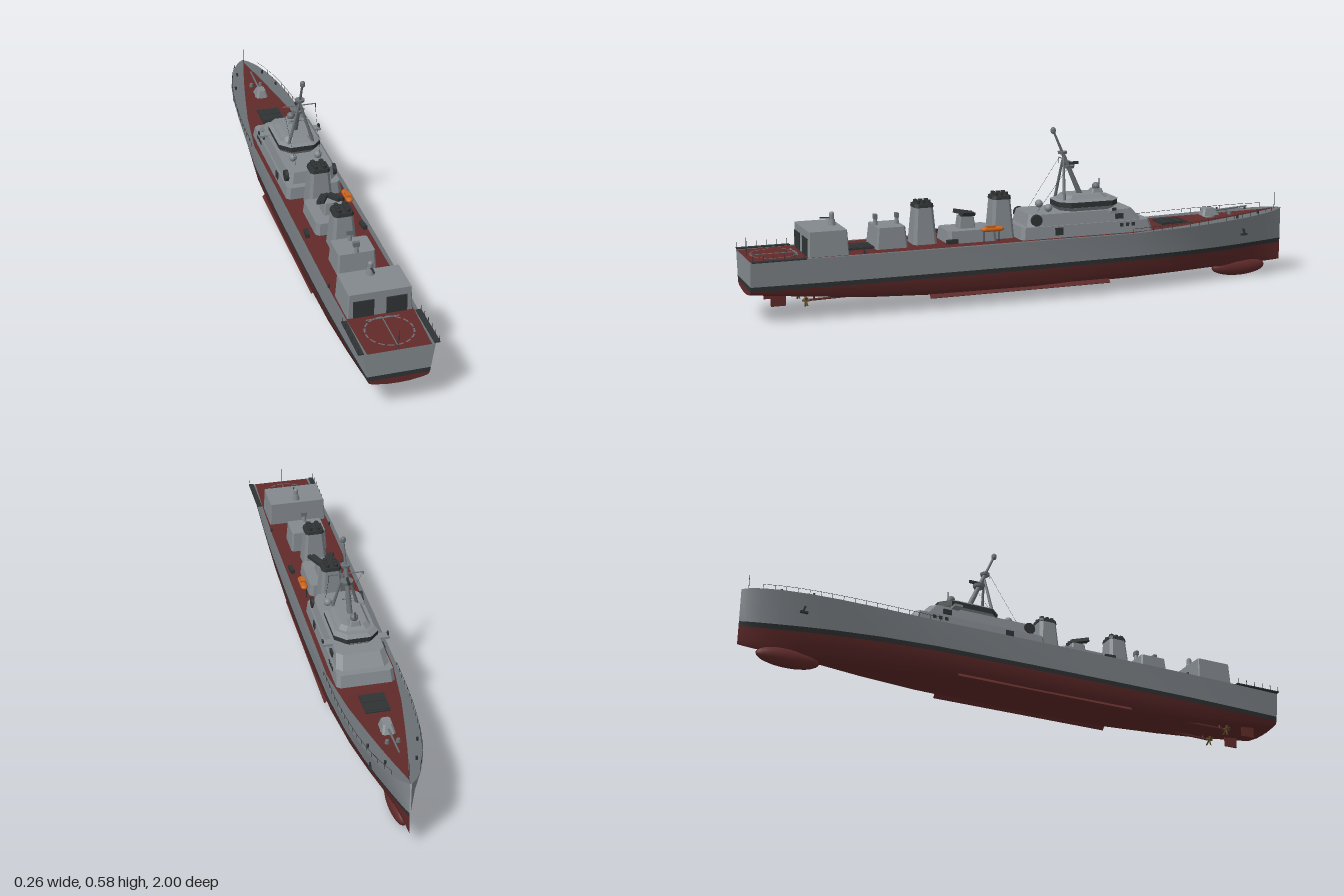
import * as THREE from 'three';

const mat = (name, color) => Object.assign(new THREE.MeshStandardMaterial({ color }), { name });

export function createModel() {
  const root = new THREE.Group();
  root.name = 'warship';
  const grey = mat('hull grey', 0x83898e), red = mat('oxide red', 0x612a2a), dark = mat('dark grey', 0x303334);
  const orange = mat('boat orange', 0xc8641e), brass = mat('propeller brass', 0x64502c), mid = mat('mast grey', 0x6a7074);

  const add = (name, geo, m, x = 0, y = 0, z = 0) => {
    const mesh = new THREE.Mesh(geo, m);
    mesh.name = name;
    mesh.position.set(x, y, z);
    root.add(mesh);
    return mesh;
  };
  const box = (name, m, w, h, d, x, y, z) => add(name, new THREE.BoxGeometry(w, h, d), m, x, y, z);
  const V = (x, y, z) => new THREE.Vector3(x, y, z);
  // straight rod between two points
  const rod = (name, m, a, b, r0, r1 = r0, sides = 8) => {
    const dir = b.clone().sub(a), mesh = add(name, new THREE.CylinderGeometry(r1, r0, dir.length(), sides), m);
    mesh.position.copy(a).add(b).multiplyScalar(0.5);
    mesh.quaternion.setFromUnitVectors(V(0, 1, 0), dir.normalize());
    return mesh;
  };
  const mirror = f => [-1, 1].forEach(f);
  // skin over rows of points
  const loft = (rows, flat) => {
    const n = rows[0].length, idx = [];
    for (let i = 0; i < rows.length - 1; i++) for (let j = 0; j < n - 1; j++) {
      const a = i * n + j, c = a + n;
      idx.push(a, c, a + 1, a + 1, c, c + 1);
    }
    let g = new THREE.BufferGeometry();
    g.setAttribute('position', new THREE.Float32BufferAttribute(rows.flat(2), 3));
    g.setIndex(idx);
    if (flat) g = g.toNonIndexed();
    g.computeVertexNormals();
    return g;
  };
  // tapered deckhouse with cut corners: half widths, z ranges, heights
  const house = (name, m, [w0, za0, zb0, y0], [w1, za1, zb1, y1], c = 0.004) => {
    const ring = (w, a, b, y, k) => [[w, a + k], [w, b - k], [w - k, b], [k - w, b], [-w, b - k], [-w, a + k], [k - w, a], [w - k, a], [w, a + k]]
      .map(([x, z]) => [x, y, z]);
    const mz0 = (za0 + zb0) / 2, mz1 = (za1 + zb1) / 2;
    return add(name, loft([ring(0, mz0, mz0, y0, 0), ring(w0, za0, zb0, y0, c), ring(w1, za1, zb1, y1, c), ring(0, mz1, mz1, y1, 0)], true), m);
  };

  // Hull stations: z, deck, waterline, bilge and floor half widths, keel height
  const stations = [
    [-1, 0.003, 0.002, 0.001, 0.001, 0.048], [-0.98, 0.024, 0.007, 0.004, 0.002, 0.046], [-0.94, 0.048, 0.016, 0.009, 0.004, 0.044],
    [-0.88, 0.071, 0.03, 0.018, 0.008, 0.042], [-0.8, 0.092, 0.049, 0.034, 0.017, 0.04], [-0.7, 0.108, 0.07, 0.055, 0.034, 0.04],
    [-0.55, 0.122, 0.093, 0.081, 0.06, 0.04], [-0.35, 0.128, 0.11, 0.102, 0.083, 0.04], [0, 0.129, 0.117, 0.112, 0.097, 0.04],
    [0.35, 0.129, 0.117, 0.112, 0.094, 0.042], [0.6, 0.127, 0.115, 0.107, 0.085, 0.052], [0.8, 0.122, 0.109, 0.101, 0.08, 0.07], [1, 0.115, 0.1, 0.094, 0.075, 0.09]];
  const deckY = z => 0.213 + 0.029 * Math.pow(Math.max(0, (-z - 0.35) / 0.65), 1.4);
  const half = ([z, b, w, g, f, k]) => [[b, deckY(z)], [w + (b - w) * 0.15, 0.128], [w, 0.112],
    [g, Math.max(0.07, k + 0.012)], [f, k + 0.007], [f * 0.45, k + 0.001], [0, k]];
  const hullBand = (name, m, i, j) => mirror(s => add(name, loft(stations.map(st => {
    const p = half(st).slice(i, j + 1).map(([x, y]) => [s * x, y, st[0]]);
    return s > 0 ? p : p.reverse();
  })), m));
  hullBand('topsides', grey, 0, 1);
  hullBand('bootTopping', dark, 1, 2);
  hullBand('underwaterHull', red, 2, 6);

  // transom
  const stern = half(stations[stations.length - 1]);
  [[grey, 0, 1], [dark, 1, 2], [red, 2, 6]].forEach(([m, i, j]) => {
    const p = stern.slice(i, j + 1), s = new THREE.Shape();
    [...p, ...p.slice().reverse().map(([x, y]) => [-x, y])].forEach(([x, y], k) => k ? s.lineTo(x, y) : s.moveTo(x, y));
    add('transom', new THREE.ShapeGeometry(s), m, 0, 0, 1);
  });

  // deck: red centre, grey margins that widen toward the bow
  const redHalf = ([z, b]) => Math.max(0.0005, Math.min(b - 0.012, 0.112 * Math.pow(Math.max(0, z + 0.97) / 0.55, 0.85), 0.114));
  add('deck', loft(stations.map(st => [-redHalf(st), redHalf(st)].map(x => [x, deckY(st[0]), st[0]]))), red);
  mirror(s => add('deckMargin', loft(stations.map(st => {
    const p = [redHalf(st), st[1]].map(x => [s * x, deckY(st[0]), st[0]]);
    return s > 0 ? p : p.reverse();
  })), mid));

  // sonar bulb, rudders, shafts, propellers, bilge keels
  add('sonarBulb', new THREE.SphereGeometry(1, 20, 14), red, 0, 0.033, -0.83).scale.set(0.026, 0.033, 0.108);
  mirror(s => {
    box('rudder', red, 0.005, 0.05, 0.05, s * 0.056, 0.073, 0.9);
    rod('shaft', red, V(s * 0.05, 0.062, 0.58), V(s * 0.056, 0.06, 0.81), 0.004);
    rod('shaftStrut', red, V(s * 0.056, 0.06, 0.78), V(s * 0.056, 0.085, 0.78), 0.003);
    rod('propellerHub', brass, V(s * 0.056, 0.06, 0.795), V(s * 0.056, 0.06, 0.82), 0.005, 0.003);
    for (let i = 0; i < 5; i++) {
      const a = i * Math.PI * 0.4 + 0.3, blade = box('propellerBlade', brass, 0.008, 0.021, 0.002, s * 0.056 - Math.sin(a) * 0.013, 0.06 + Math.cos(a) * 0.013, 0.808);
      blade.rotation.set(0, 0, a);
      blade.rotateY(1.1);
    }
    box('bilgeKeel', red, 0.016, 0.003, 0.66, s * 0.1, 0.046, 0.06).rotation.z = -s * 0.9;
  });

  // forward superstructure and bridge
  house('mainDeckhouse', grey, [0.1, -0.44, 0.06, 0.21], [0.095, -0.425, 0.055, 0.255], 0.012);
  house('upperDeckhouse', grey, [0.09, -0.4, 0.03, 0.255], [0.082, -0.365, 0.02, 0.295], 0.02);
  house('bridgeBase', grey, [0.066, -0.31, -0.11, 0.295], [0.076, -0.325, -0.1, 0.308], 0.035);
  house('bridgeWindows', dark, [0.075, -0.323, -0.1, 0.308], [0.075, -0.323, -0.1, 0.327], 0.035);
  house('bridgeRoof', grey, [0.077, -0.326, -0.098, 0.327], [0.066, -0.31, -0.11, 0.335], 0.035);
  house('roofHouse', grey, [0.055, -0.29, -0.12, 0.335], [0.045, -0.275, -0.13, 0.347], 0.02);
  house('directorBase', grey, [0.02, -0.28, -0.235, 0.345], [0.016, -0.275, -0.24, 0.36]);
  add('fireDirector', new THREE.SphereGeometry(0.014, 14, 10), mid, 0, 0.368, -0.258);
  rod('roofAerial', dark, V(0, 0.345, -0.27), V(0, 0.395, -0.27), 0.0015);
  mirror(s => {
    box('bridgeWing', grey, 0.04, 0.008, 0.03, s * 0.095, 0.293, -0.28);
    box('wingLight', dark, 0.005, 0.014, 0.014, s * 0.112, 0.3, -0.28);
    box('searchlight', dark, 0.024, 0.018, 0.03, s * 0.08, 0.272, -0.31);
    rod('sideDish', dark, V(s * 0.08, 0.277, 0), V(s * 0.092, 0.277, 0), 0.02, 0.02, 16);
    box('sideDoor', dark, 0.004, 0.026, 0.03, s * 0.0975, 0.235, -0.08);
    for (let i = 0; i < 3; i++) box('sideWindow', dark, 0.004, 0.012, 0.012, s * 0.0965, 0.242, -0.36 + i * 0.022);
    add('satelliteDome', new THREE.SphereGeometry(0.014, 12, 8), grey, s * 0.045, 0.31, -0.06);
  });

  // raked tripod mast
  const mast = y => V(0, y, -0.2 + (y - 0.335) * 0.44);
  rod('mastPole', mid, mast(0.335), mast(0.49), 0.01, 0.007);
  rod('topmast', mid, mast(0.49), mast(0.57), 0.005, 0.004);
  mirror(s => {
    rod('mastLeg', mid, V(s * 0.045, 0.325, -0.12), mast(0.485), 0.006, 0.004);
    rod('yardDrop', dark, V(s * 0.06, 0.468, mast(0.468).z), V(s * 0.06, 0.448, mast(0.468).z), 0.0007);
    rod('halyard', dark, V(s * 0.058, 0.468, mast(0.468).z), V(s * 0.045, 0.3, -0.02), 0.0005, 0.0005, 4);
  });
  [[0.443, 0.022, 0.01], [0.494, 0.017, 0.009]].forEach(([y, r, h]) =>
    add('mastPlatform', new THREE.CylinderGeometry(r, r * 0.9, h, 12), mid, 0, y, mast(y).z));
  [[0.468, 0.06], [0.39, 0.022]].forEach(([y, w]) => box('yardarm', mid, w * 2, 0.003, 0.003, 0, y, mast(y).z));
  box('radarBar', dark, 0.006, 0.01, 0.05, 0, 0.455, -0.165);
  add('mastDome', new THREE.CapsuleGeometry(0.009, 0.006, 4, 12), mid, 0, 0.573, mast(0.573).z);

  // funnels with exhaust pipes
  [[0.105, 0.362], [0.385, 0.352]].forEach(([z, top]) => {
    house('funnel', grey, [0.044, z - 0.042, z + 0.042, 0.21], [0.033, z - 0.032, z + 0.032, top - 0.014], 0.01);
    house('funnelCap', dark, [0.035, z - 0.034, z + 0.034, top - 0.014], [0.033, z - 0.032, z + 0.032, top - 0.002], 0.01);
    mirror(s => { for (let i = -1; i <= 1; i++) add('exhaustPipe', new THREE.CylinderGeometry(0.008, 0.008, 0.014, 10), dark, s * 0.015, top + 0.002, z + i * 0.019); });
  });

  // midships house, launchers, aft houses and hangar
  house('midshipsHouse', grey, [0.067, 0.135, 0.315, 0.21], [0.063, 0.14, 0.31, 0.255], 0.012);
  house('launcherBase', grey, [0.024, 0.2, 0.26, 0.255], [0.02, 0.205, 0.255, 0.297]);
  mirror(s => [0, 1].forEach(k => {
    const tube = box('missileCanister', dark, 0.012, 0.012, 0.065, s * (0.014 + k * 0.014), 0.304, 0.23);
    tube.rotation.set(-0.12, s * 0.5, 0);
  }));
  house('aftHouse', grey, [0.067, 0.455, 0.566, 0.21], [0.062, 0.462, 0.558, 0.285], 0.006);
  [0.475, 0.55].forEach(z => {
    rod('directorPost', grey, V(0, 0.285, z), V(0, 0.31, z), 0.009, 0.006);
    box('directorHead', mid, 0.022, 0.016, 0.012, 0, 0.314, z);
  });
  house('hangar', grey, [0.107, 0.67, 0.806, 0.21], [0.102, 0.674, 0.803, 0.296], 0.003);
  mirror(s => box('hangarDoor', dark, 0.068, 0.061, 0.006, s * 0.054, 0.241, 0.8045));
  rod('closeInGunBase', grey, V(0, 0.296, 0.7), V(0, 0.315, 0.7), 0.014, 0.011, 12);
  add('closeInGunDome', new THREE.CapsuleGeometry(0.009, 0.016, 4, 12), grey, 0, 0.325, 0.7);
  rod('closeInGunBarrel', dark, V(0, 0.32, 0.7), V(0, 0.323, 0.74), 0.003);

  // vertical launch hatches with cell lids
  [-0.55, 0.612].forEach(z => {
    const y = deckY(z);
    box('launchHatch', dark, 0.084, 0.012, 0.1, 0, y, z);
    for (let i = 0; i < 8; i++) box('cellLid', dark, 0.016, 0.002, 0.038, -0.03 + (i % 4) * 0.02, y + 0.007, z + (i < 4 ? -0.023 : 0.023));
  });

  // main gun
  add('gunRing', new THREE.CylinderGeometry(0.02, 0.022, 0.01, 16), grey, 0, 0.232, -0.705);
  house('gunTurret', grey, [0.022, -0.74, -0.672, 0.234], [0.015, -0.722, -0.68, 0.26], 0.006);
  rod('gunBarrel', mid, V(0, 0.248, -0.73), V(0, 0.256, -0.86), 0.004, 0.003);

  // ship's boat, davits and side details
  const boat = add('boat', new THREE.CapsuleGeometry(0.013, 0.055, 4, 10), orange, 0.087, 0.259, 0.161);
  boat.rotation.x = Math.PI / 2;
  boat.scale.z = 0.65;
  box('boatCanopy', orange, 0.018, 0.008, 0.03, 0.087, 0.268, 0.168);
  [0.135, 0.19].forEach(z => rod('davit', dark, V(0.08, 0.213, z), V(0.08, 0.252, z), 0.002));
  mirror(s => {
    const tubes = box('torpedoTubes', dark, 0.014, 0.014, 0.04, s * 0.098, 0.228, 0.31);
    tubes.rotation.y = s * 0.1;
    // anchors and bollards
    const anchor = box('anchor', dark, 0.006, 0.024, 0.006, s * 0.079, 0.178, -0.81);
    anchor.rotation.x = 0.3;
    box('anchorFluke', dark, 0.008, 0.007, 0.026, s * 0.079, 0.168, -0.81);
    for (const z of [-0.88, -0.78, 0.62]) add('bollard', new THREE.CylinderGeometry(0.004, 0.004, 0.012, 8), dark, s * (z < -0.85 ? 0.05 : z < 0 ? 0.08 : 0.112), deckY(z) + 0.006, z);
    add('capstan', new THREE.CylinderGeometry(0.006, 0.008, 0.012, 10), mid, s * 0.018, 0.24, -0.78);
    // flight deck safety nets
    box('safetyNet', dark, 0.018, 0.004, 0.18, s * 0.121, 0.215, 0.908);
    for (let i = 0; i < 6; i++) box('netPost', dark, 0.0015, 0.02, 0.0015, s * 0.128, 0.225, 0.825 + i * 0.034);
    // guard rail along the foredeck
    const edge = stations.slice(2, 8).map(st => V(s * (st[1] - 0.003), deckY(st[0]) + 0.016, st[0]));
    const curve = new THREE.CatmullRomCurve3(edge);
    add('guardRail', new THREE.TubeGeometry(curve, 30, 0.0007, 4), dark);
    curve.getSpacedPoints(16).forEach(p => rod('railPost', dark, V(p.x, p.y - 0.016, p.z), p, 0.0008, 0.0008, 4));
  });

  // flight deck markings
  const markY = deckY(0.9) + 0.0015;
  for (let i = 0; i < 16; i++) {
    add('landingCircle', new THREE.RingGeometry(0.074, 0.079, 4, 1, i * Math.PI / 8, 0.28), mid, 0, markY, 0.9).rotation.x = -Math.PI / 2;
  }
  box('landingLine', mid, 0.11, 0.002, 0.004, 0, markY, 0.83);
  box('landingCentreLine', mid, 0.003, 0.002, 0.15, 0, markY, 0.9);

  // staffs at bow and stern
  rod('jackStaff', dark, V(0, 0.24, -0.975), V(0, 0.3, -0.975), 0.001);
  rod('ensignStaff', dark, V(0, 0.213, 0.99), V(0, 0.275, 0.99), 0.001);
  return root;
}
